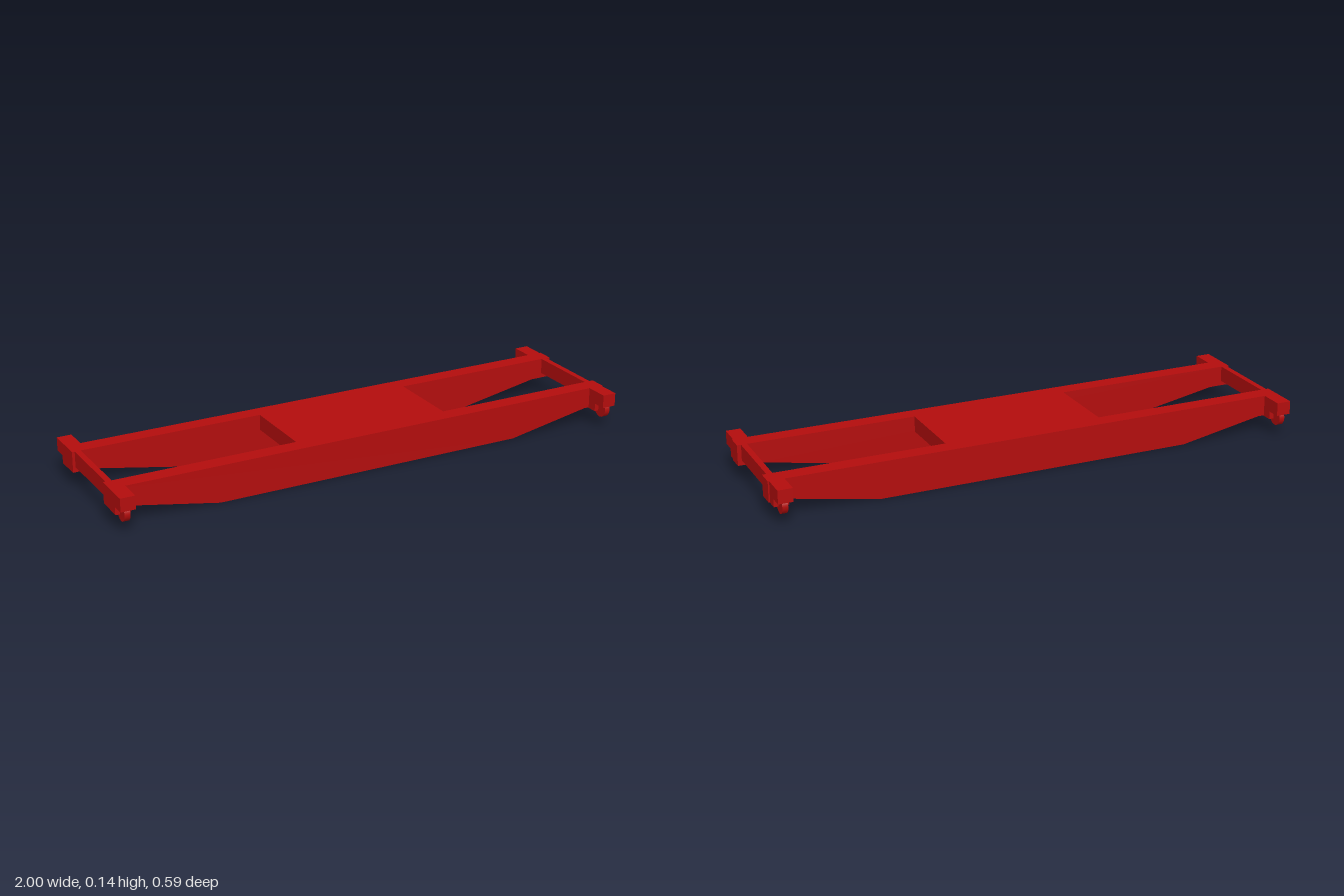
import * as THREE from 'three';

export function createModel() {
  const model = new THREE.Group();
  model.name = 'underframe';
  const red = new THREE.MeshStandardMaterial({ color: 0xb30d0d });
  red.name = 'red';
  const top = 0.138;

  function add(name, geometry, x, y, z) {
    const mesh = new THREE.Mesh(geometry, red);
    mesh.name = name;
    mesh.position.set(x, y, z);
    model.add(mesh);
    return mesh;
  }

  // box given by its limits on each axis
  function box(name, x0, x1, y0, y1, z0, z1) {
    return add(name, new THREE.BoxGeometry(x1 - x0, y1 - y0, z1 - z0),
      (x0 + x1) / 2, (y0 + y1) / 2, (z0 + z1) / 2);
  }

  // fish-bellied side girders
  const profile = new THREE.Shape([
    [-1, top], [-1, 0.06], [-0.92, 0.06], [-0.6, 0],
    [0.6, 0], [0.92, 0.06], [1, 0.06], [1, top],
  ].map(([x, y]) => new THREE.Vector2(x, y)));
  const girder = new THREE.ExtrudeGeometry(profile, { depth: 0.063, bevelEnabled: false });
  add('leftGirder', girder, 0, 0, 0.145);
  add('rightGirder', girder, 0, 0, -0.208);

  // centre platform between the girders
  box('centrePlatform', -0.275, 0.33, 0.079, top, -0.146, 0.146);

  // thin cross bars at both ends
  box('crossBar', -0.99, -0.968, 0.079, top, -0.146, 0.146);
  box('crossBar', 0.963, 0.985, 0.079, top, -0.146, 0.146);

  // stepped corner brackets, each with a round disc below
  const disc = new THREE.CylinderGeometry(0.033, 0.033, 0.021, 32).rotateZ(Math.PI / 2);
  for (const [x0, x1, discX] of [[-1, -0.945, -0.973], [0.941, 0.995, 0.968]]) {
    for (const s of [-1, 1]) {
      const span = (a, b) => (s > 0 ? [a, b] : [-b, -a]);
      box('bracketArm', x0, x1, 0.088, top, ...span(0.2, 0.297));
      box('bracketStep', x0, x1, 0.058, 0.09, ...span(0.2, 0.247));
      add('disc', disc, discX, 0.07, s * 0.256);
    }
  }
  return model;
}
